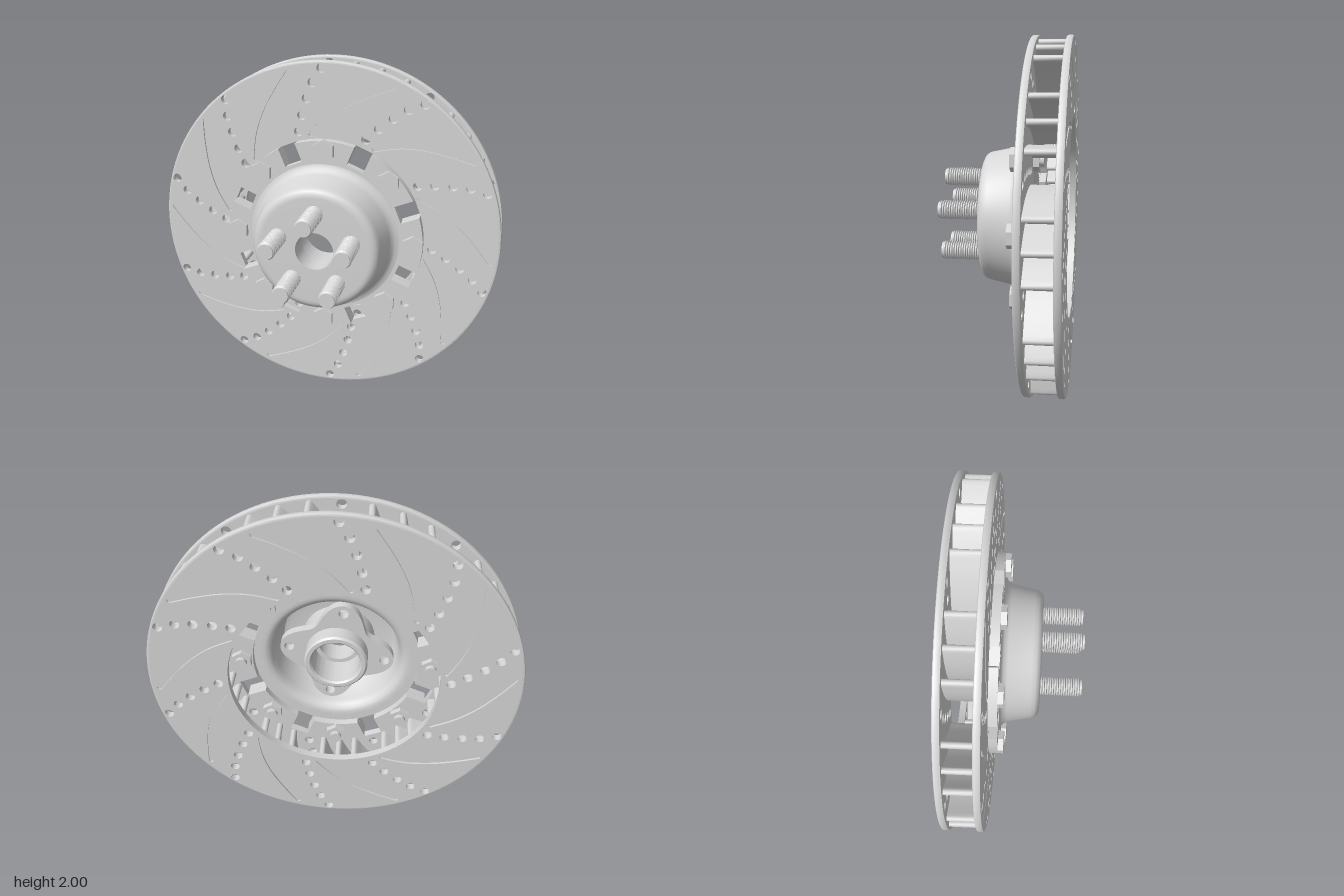
import * as THREE from 'three';
import { toCreasedNormals } from 'three/addons/utils/BufferGeometryUtils.js';

const steel = new THREE.MeshStandardMaterial({ color: 0xd6d6d6 });
steel.name = 'light steel grey';

const DEG = Math.PI / 180;
const polar = (r, deg) => new THREE.Vector2(r * Math.cos(deg * DEG), r * Math.sin(deg * DEG));
const circle = (r, n, c = new THREE.Vector2()) =>
  Array.from({ length: n }, (_, i) => polar(r, (i * 360) / n).add(c));

// Extrude an outline with holes between two z planes
function slab(outline, holes, z0, z1) {
  const shape = new THREE.Shape(outline);
  shape.holes = holes.map((h) => new THREE.Path(h));
  const geo = new THREE.ExtrudeGeometry(shape, { depth: z1 - z0, bevelEnabled: false });
  return toCreasedNormals(geo.translate(0, 0, z0), 0.6);
}

// Turn a counter-clockwise (radius, z) profile around the z axis
function turned(profile, segments) {
  const pts = profile.map(([r, z]) => new THREE.Vector2(r, z));
  return toCreasedNormals(new THREE.LatheGeometry(pts, segments).rotateX(Math.PI / 2), 0.6);
}

// Outline of a round-ended strip along a curve
function strip(points, half) {
  const curve = new THREE.SplineCurve(points), n = 14, left = [], right = [];
  for (let i = 0; i <= n; i++) {
    const p = curve.getPoint(i / n), t = curve.getTangent(i / n);
    const side = new THREE.Vector2(-t.y, t.x).multiplyScalar(half);
    left.push(p.clone().add(side));
    right.push(p.clone().sub(side));
  }
  const cap = (t, sign) => {
    const p = curve.getPoint(t), tan = curve.getTangent(t);
    const a = Math.atan2(tan.y, tan.x) / DEG + (sign > 0 ? -90 : 90);
    return [30, 60, 90, 120, 150].map((d) => polar(half, a + d).add(p));
  };
  return [...right, ...cap(1, 1), ...left.reverse(), ...cap(0, -1)];
}

// Circle of radius rBase with eight rectangular notches reaching rNotch
function notched(rBase, rNotch) {
  const half = 0.052, pts = [];
  const edge = Math.asin(half / rBase) / DEG;
  const foot = Math.atan(half / rNotch) / DEG, rFoot = Math.hypot(half, rNotch);
  for (let k = 0; k < 8; k++) {
    const a = 22.5 + 45 * k;
    pts.push(polar(rFoot, a - foot), polar(rFoot, a + foot));
    for (let i = 0; i <= 10; i++) pts.push(polar(rBase, a + edge + ((45 - 2 * edge) * i) / 10));
  }
  return pts;
}

export function createModel() {
  const model = new THREE.Group();
  model.name = 'brakeDisc';
  const body = new THREE.Group();
  body.name = 'discAssembly';
  body.position.y = 1;
  model.add(body);
  const add = (name, geo, parent = body) => {
    const mesh = new THREE.Mesh(geo, steel);
    mesh.name = name;
    parent.add(mesh);
    return mesh;
  };

  // Drilled holes and engraved slots, ten sweeps of each
  const drill = [[0.96, 91.8], [0.883, 95.2], [0.798, 98.2], [0.708, 101.5], [0.622, 104.9]];
  const holes = [], slots = [];
  for (let k = 0; k < 10; k++) {
    for (const [r, a] of drill) holes.push(circle(0.026, 16, polar(r, a + 36 * k)));
    const path = [[0.955, 31], [0.87, 37.3], [0.78, 45.2], [0.69, 53.6], [0.597, 62.5]];
    slots.push(strip(path.map(([r, a]) => polar(r, a + 36 * k)), 0.013));
  }

  // Friction plates: a core, a slotted skin and a rounded rim
  const rimR = 0.986, rim = circle(rimR, 120);
  const tabbed = notched(0.46, 0.57), plain = circle(0.566, 96);
  add('frontPlateCore', slab(rim, [tabbed, ...holes], -0.175, -0.146));
  add('frontPlateSkin', slab(rim, [tabbed, ...holes, ...slots], -0.146, -0.135));
  add('backPlateCore', slab(rim, [plain, ...holes], -0.348, -0.319));
  add('backPlateSkin', slab(rim, [plain, ...holes, ...slots], -0.359, -0.348));
  for (const [name, z] of [['frontPlateRim', -0.175], ['backPlateRim', -0.359]]) {
    add(name, turned([[rimR, z], [0.99, z], [0.997, z + 0.003], [1, z + 0.01], [1, z + 0.03],
      [0.997, z + 0.037], [0.99, z + 0.04], [rimR, z + 0.04]], 120));
  }

  // Curved cooling vanes between the plates, three between each row of holes
  const vanePath = [0.966, 0.87, 0.77, 0.67, 0.59].map((r) => polar(r, 91.8 + (0.96 - r) * 38.5));
  const vaneGeo = slab(strip(vanePath, 0.017), [], -0.319, -0.175);
  for (let k = 0; k < 40; k++) {
    if (k % 4) add('coolingVane', vaneGeo).rotation.z = 9 * k * DEG;
  }

  // Mounting flange with open notches
  add('mountingFlange', slab(notched(0.572, 0.46), [circle(0.41, 96)], -0.134, -0.085));

  // Hollow hat with the central bore and rear hub sleeve
  add('hat', turned([
    [0.4, -0.134], [0.43, -0.134], [0.44, -0.0845], [0.42, -0.08], [0.403, -0.068], [0.392, -0.045],
    [0.366, 0.08], [0.36, 0.103], [0.348, 0.12], [0.328, 0.129], [0.31, 0.13],
    [0.11, 0.13], [0.11, 0.0], [0.135, 0.0], [0.135, -0.175], [0.144, -0.185],
    [0.165, -0.185], [0.175, -0.175], [0.175, 0.08], [0.29, 0.08], [0.315, 0.072],
    [0.33, 0.05], [0.352, -0.075], [0.362, -0.11], [0.378, -0.128], [0.4, -0.134]], 96));

  // Four-lobed hub mount inside the hat, on a round core
  const lobes = Array.from({ length: 96 }, (_, i) =>
    polar(0.265 + 0.055 * Math.cos(4 * (i * 3.75 - 8) * DEG), i * 3.75));
  const mountHoles = [0, 1, 2, 3].map((k) => circle(0.028, 20, polar(0.27, 8 + 90 * k)));
  add('lobedMount', slab(lobes, [circle(0.165, 48), ...mountHoles], -0.09, -0.04));
  add('mountCore', slab(circle(0.205, 64), [circle(0.165, 48)], -0.045, 0.085));

  // Threaded wheel studs
  const thread = [[0, 0.11], [0.046, 0.11]];
  const turns = 17, pitch = 0.216 / turns;
  for (let i = 0; i < turns; i++) {
    const z = 0.13 + i * pitch;
    thread.push([0.043, z], [0.051, z + pitch * 0.35], [0.051, z + pitch * 0.65]);
  }
  thread.push([0.044, 0.347], [0.044, 0.357], [0, 0.357]);
  const studGeo = turned(thread, 24);
  for (let k = 0; k < 5; k++) {
    const c = polar(0.22, 90 + 72 * k);
    add('wheelStud', studGeo).position.set(c.x, c.y, 0);
  }

  // Hex bolts with nuts behind the flange
  const prism = (r, sides, z0, z1) => toCreasedNormals(
    new THREE.CylinderGeometry(r, r, z1 - z0, sides)
      .rotateX(Math.PI / 2).translate(0, 0, (z0 + z1) / 2), 0.5);
  const headGeo = prism(0.065, 6, -0.086, -0.055);
  const nutGeo = prism(0.06, 6, -0.205, -0.174);
  const shankGeo = prism(0.032, 20, -0.228, -0.08);
  for (let k = 0; k < 8; k++) {
    const bolt = new THREE.Group(), c = polar(0.52, 45 * k);
    bolt.name = 'flangeBolt';
    bolt.position.set(c.x, c.y, 0);
    add('boltHead', headGeo, bolt);
    add('boltNut', nutGeo, bolt);
    add('boltShank', shankGeo, bolt);
    body.add(bolt);
  }
  return model;
}
